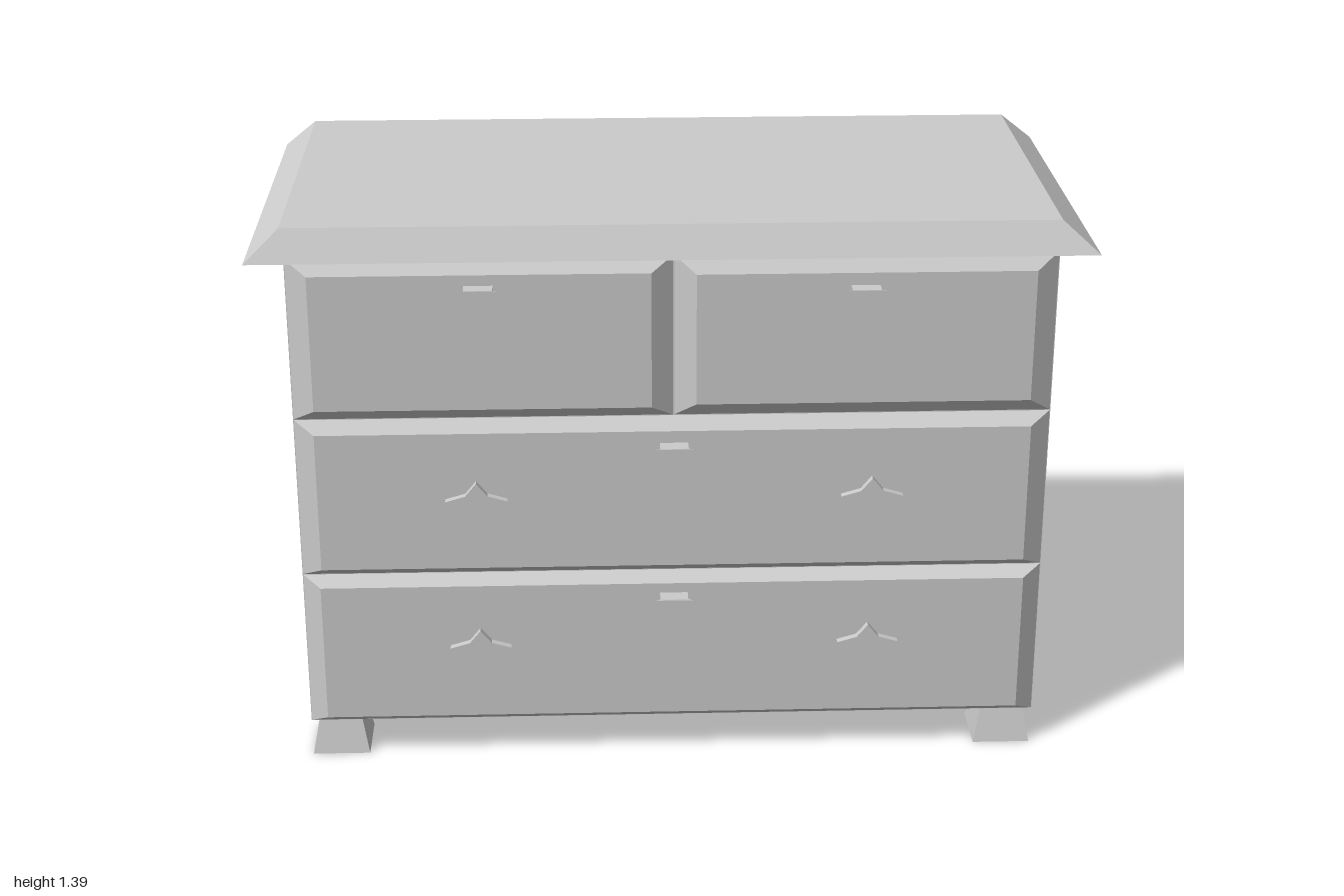
import * as THREE from 'three';

const material = new THREE.MeshStandardMaterial({ color: 0xcccccc, flatShading: true });

// Box between two rectangles [u0, u1, v0, v1]; axis 'y': u = x, v = z; axis 'z': u = x, v = y
function frustum(name, axis, from, to, rectFrom, rectTo) {
  const geometry = new THREE.BoxGeometry(1, 1, 1);
  const p = geometry.attributes.position;
  for (let i = 0; i < p.count; i++) {
    const side = axis === 'y' ? p.getY(i) : p.getZ(i);
    const across = axis === 'y' ? p.getZ(i) : p.getY(i);
    const r = side > 0 ? rectTo : rectFrom;
    const u = p.getX(i) > 0 ? r[1] : r[0];
    const v = across > 0 ? r[3] : r[2];
    const w = side > 0 ? to : from;
    if (axis === 'y') p.setXYZ(i, u, w, v);
    else p.setXYZ(i, u, v, w);
  }
  geometry.computeVertexNormals();
  const mesh = new THREE.Mesh(geometry, material);
  mesh.name = name;
  return mesh;
}

const around = (x, y, hx, hy) => [x - hx, x + hx, y - hy, y + hy];

// Square knob: straight stem with a flared head
function knob(x, y) {
  const group = new THREE.Group();
  group.name = 'knob';
  group.add(
    frustum('knobStem', 'z', 0.465, 0.506, around(x, y, 0.034, 0.03), around(x, y, 0.034, 0.03)),
    frustum('knobHead', 'z', 0.506, 0.525, around(x, y, 0.036, 0.031), around(x, y, 0.045, 0.037))
  );
  return group;
}

// Shallow five-pointed star plate
function star(x, y) {
  const half = [[0, 0.057], [0.027, 0.024], [0.075, 0.01], [0.042, -0.017], [0.038, -0.05], [0, -0.041]];
  const mirrored = half.slice(1, -1).reverse().map(([a, b]) => [-a, b]);
  const shape = new THREE.Shape([...half, ...mirrored].map(([a, b]) => new THREE.Vector2(a, b)));
  const geometry = new THREE.ExtrudeGeometry(shape, { depth: 0.02, bevelEnabled: false });
  const mesh = new THREE.Mesh(geometry, material);
  mesh.position.set(x, y, 0.464);
  mesh.name = 'starOrnament';
  return mesh;
}

export function createModel() {
  const model = new THREE.Group();
  model.name = 'chestOfDrawers';

  // Carcass and sloped top
  const plan = [-0.91, 0.91, -0.472, 0.435];
  model.add(frustum('body', 'y', 0.093, 1.315, plan, plan));
  model.add(frustum('top', 'y', 1.315, 1.39, [-1, 1, -0.523, 0.477], [-0.917, 0.912, -0.482, 0.435]));

  // Bevelled drawer fronts: back rectangle, front rectangle
  const drawers = [
    ['upperRightDrawer', [-0.91, 0, 0.91, 1.315], [-0.857, -0.053, 0.942, 1.28]],
    ['upperLeftDrawer', [0, 0.91, 0.91, 1.315], [0.053, 0.855, 0.948, 1.275]],
    ['middleDrawer', [-0.91, 0.91, 0.5, 0.91], [-0.86, 0.86, 0.525, 0.88]],
    ['lowerDrawer', [-0.91, 0.91, 0.093, 0.5], [-0.865, 0.863, 0.117, 0.475]],
  ];
  for (const [name, back, front] of drawers) {
    model.add(frustum(name, 'z', 0.434, 0.466, back, front));
  }

  // Knobs and star ornaments
  for (const [x, y] of [[-0.458, 1.224], [0.45, 1.215], [0, 0.82], [0, 0.42]]) model.add(knob(x, y));
  for (const y of [0.7, 0.304]) for (const x of [-0.477, 0.48]) model.add(star(x, y));

  // Tapered feet, wider at the floor
  for (const x of [-0.838, 0.835]) {
    for (const z of [0.368, -0.397]) {
      model.add(frustum('foot', 'y', 0, 0.093, around(x, z, 0.071, 0.074), around(x, z, 0.053, 0.053)));
    }
  }
  return model;
}
